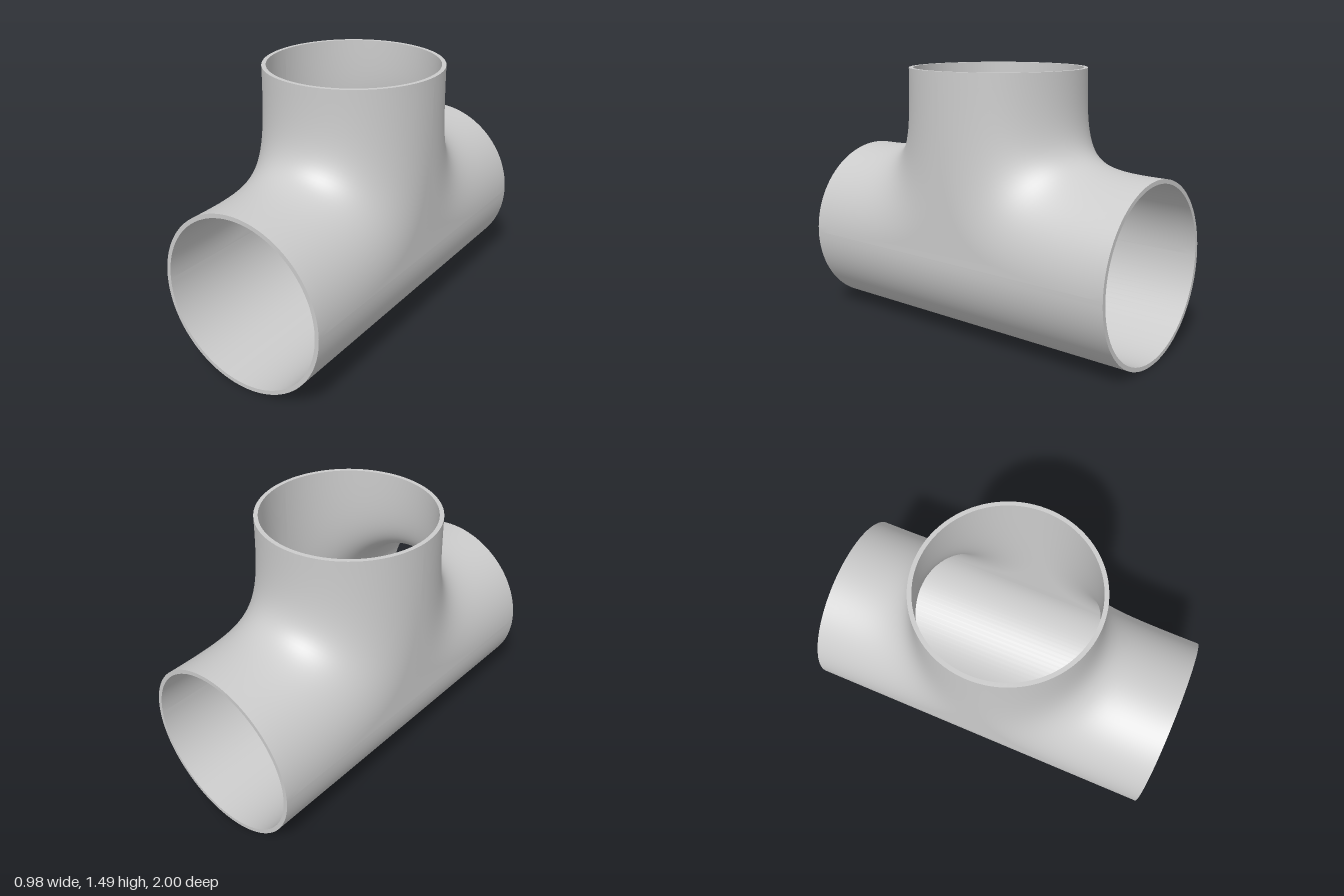
import * as THREE from 'three';
import { mergeGeometries, mergeVertices } from 'three/addons/utils/BufferGeometryUtils.js';

const OUTER = 0.49, INNER = 0.467; // pipe radii
const AXIS = 0.49, TOP = 1.49, END = 1; // run axis height, branch mouth, run mouth
const N = 48, ROWS = 28, PULL = 0.92; // half-circle segments, rows along the blend, corner tightness

// One wall of the tee: blended upper part plus the plain lower half of the run
function teeSkin(r, inward) {
  const pos = [], index = [], loop = 2 * (N + 1);
  for (let i = 0; i <= ROWS; i++) {
    const t = i / ROWS, s = 1 - t;
    // cubic curve from branch mouth to run mouth, measured from the mitre corner
    const rise = s ** 3 + 3 * s * s * t * (1 - PULL);
    const reach = t ** 3 + 3 * t * t * s * (1 - PULL);
    for (const side of [0, 1]) {
      for (let j = 0; j <= N; j++) {
        const a = Math.PI * (side + j / N);
        const h = r * Math.abs(Math.sin(a)); // mitre corner offset
        const y = AXIS + h + rise * (TOP - AXIS - h);
        const z = h + reach * (END - h);
        pos.push(r * Math.cos(a), y, side ? -z : z);
      }
    }
  }
  // the closing quads of each loop form the flat cheeks between front and back
  for (let i = 0; i < ROWS; i++) {
    for (let j = 0; j < loop; j++) {
      const a = i * loop + j, b = i * loop + (j + 1) % loop;
      index.push(a, b, a + loop, b, b + loop, a + loop);
    }
  }
  const upper = new THREE.BufferGeometry();
  upper.setAttribute('position', new THREE.Float32BufferAttribute(pos, 3));
  upper.setIndex(index);

  const lower = new THREE.CylinderGeometry(r, r, 2 * END, N, 1, true, -Math.PI / 2, Math.PI);
  lower.rotateX(Math.PI / 2).translate(0, AXIS, 0);
  lower.deleteAttribute('normal');
  lower.deleteAttribute('uv');

  const skin = mergeVertices(mergeGeometries([upper, lower]), 1e-4);
  if (inward) skin.setIndex(Array.from(skin.index.array).reverse());
  skin.computeVertexNormals();
  return skin;
}

export function createModel() {
  const group = new THREE.Group();
  group.name = 'pipeTee';
  const material = new THREE.MeshStandardMaterial({ color: 0xcccccc });
  const add = (name, geometry) => {
    const mesh = new THREE.Mesh(geometry, material);
    mesh.name = name;
    group.add(mesh);
    return mesh;
  };

  add('outerWall', teeSkin(OUTER, false));
  add('innerWall', teeSkin(INNER, true));

  // Flat rims closing the wall at the three mouths
  const rim = new THREE.RingGeometry(INNER, OUTER, 2 * N);
  add('frontRim', rim).position.set(0, AXIS, END);
  const back = add('backRim', rim);
  back.position.set(0, AXIS, -END);
  back.rotation.y = Math.PI;
  const top = add('branchRim', rim);
  top.position.set(0, TOP, 0);
  top.rotation.x = -Math.PI / 2;

  return group;
}
